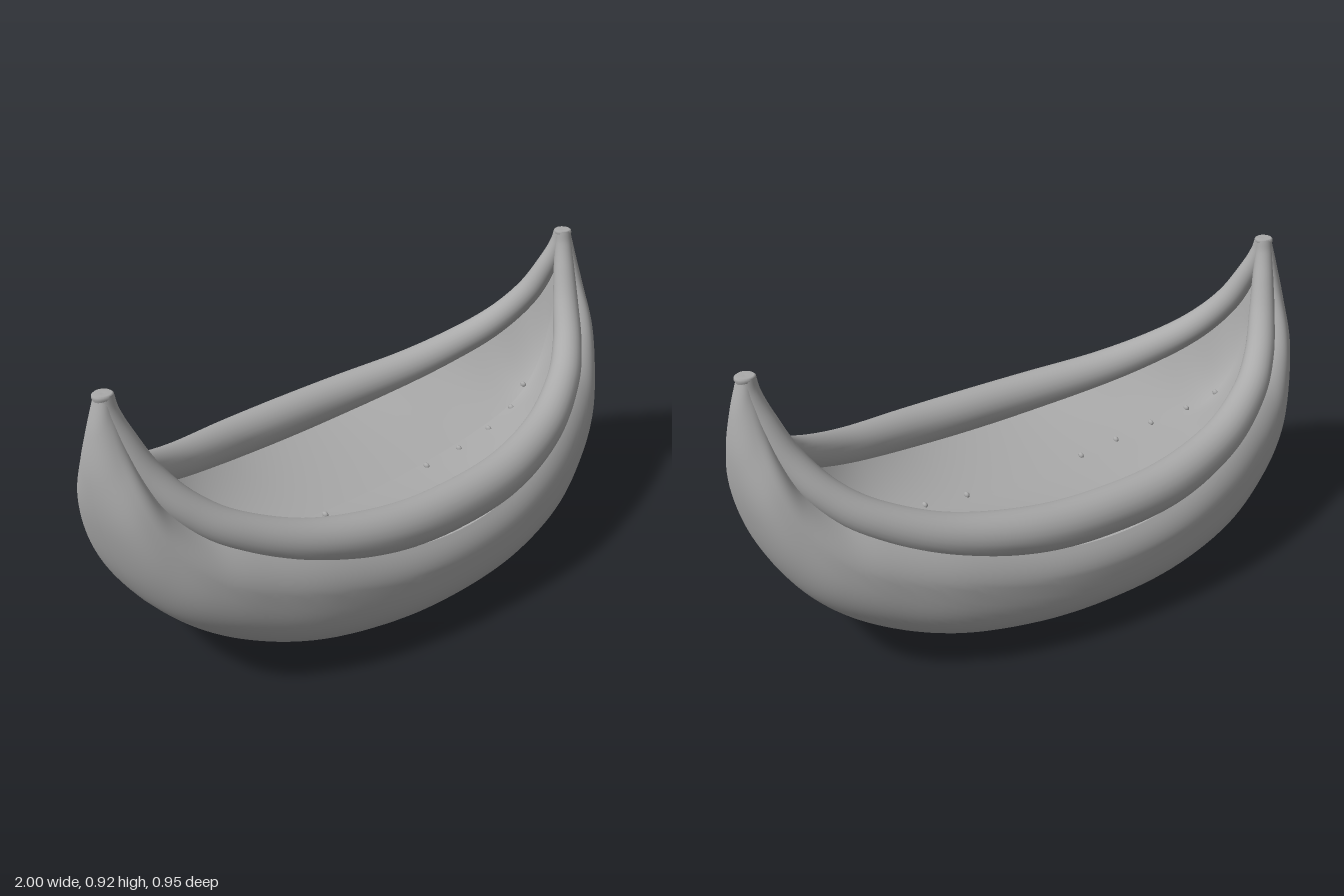
import * as THREE from 'three';

const V = (x, y, z = 0) => new THREE.Vector3(x, y, z);

// Stations from midship to the tip:
// keel x,y | sheer x,y,z | half width, squareness | floor centreline x,y
const STATIONS = [
  [0, 0.003, 0, 0.322, 0.438, 0.475, 0.6, 0, 0.278],
  [0.25, 0.011, 0.25, 0.342, 0.417, 0.46, 0.6, 0.25, 0.286],
  [0.5, 0.043, 0.5, 0.41, 0.352, 0.41, 0.61, 0.5, 0.31],
  [0.7, 0.117, 0.69, 0.49, 0.25, 0.337, 0.64, 0.68, 0.345],
  [0.845, 0.225, 0.79, 0.548, 0.172, 0.273, 0.67, 0.775, 0.395],
  [0.932, 0.36, 0.86, 0.622, 0.12, 0.208, 0.71, 0.84, 0.47],
  [0.984, 0.53, 0.895, 0.71, 0.08, 0.148, 0.76, 0.885, 0.58],
  [0.999, 0.68, 0.915, 0.8, 0.055, 0.084, 0.87, 0.905, 0.7],
  [0.985, 0.81, 0.925, 0.87, 0.036, 0.045, 0.96, 0.92, 0.82],
  [0.957, 0.915, 0.932, 0.912, 0.026, 0.027, 1, 0.93, 0.9],
];

// Gunwale centreline x,y,z and radius
const RAIL = [
  [0, 0.384, 0.392, 0.072],
  [0.25, 0.394, 0.376, 0.07],
  [0.5, 0.434, 0.314, 0.063],
  [0.69, 0.507, 0.232, 0.055],
  [0.8, 0.588, 0.156, 0.049],
  [0.87, 0.69, 0.084, 0.043],
  [0.91, 0.8, 0.035, 0.035],
  [0.928, 0.87, 0.012, 0.029],
  [0.932, 0.917, 0.003, 0.026],
];

// Smooth curve through the rows, mirrored end to end
function mirrored(rows, pick, flip) {
  const right = rows.map(pick);
  const left = right.slice(1).reverse().map((p) => V(flip ? -p.x : p.x, p.y, p.z));
  return new THREE.CatmullRomCurve3([...left, ...right], false, 'catmullrom', 0.5);
}

const keel = mirrored(STATIONS, (s) => V(s[0], s[1]), true);
const sheer = mirrored(STATIONS, (s) => V(s[2], s[3], s[4]), true);
const form = mirrored(STATIONS, (s) => V(s[5], s[6]), false);
const floor = mirrored(STATIONS, (s) => V(s[7], s[8]), true);
const railPath = mirrored(RAIL, (r) => V(r[0], r[1], r[2]), true);
const railSize = mirrored(RAIL, (r) => V(r[3], 0), false);

// Grid surface from a function of u and v
function surface(fn, nu, nv, flip, closed) {
  const pos = [], index = [];
  const cols = closed ? nv : nv + 1;
  for (let i = 0; i <= nu; i++) {
    for (let j = 0; j < cols; j++) pos.push(...fn(i / nu, j / nv).toArray());
  }
  for (let i = 0; i < nu; i++) {
    for (let j = 0; j < nv; j++) {
      const k = (j + 1) % cols;
      const a = i * cols + j, b = a + cols, c = (i + 1) * cols + k, d = i * cols + k;
      if (flip) index.push(a, c, b, a, d, c);
      else index.push(a, b, c, a, c, d);
    }
  }
  const g = new THREE.BufferGeometry();
  g.setAttribute('position', new THREE.Float32BufferAttribute(pos, 3));
  g.setIndex(index);
  g.computeVertexNormals();
  return g;
}

// Point on one half of the outer hull, from keel (v = 0) to sheer (v = 1)
function hullPoint(u, v, side) {
  const k = keel.getPoint(u), s = sheer.getPoint(u), f = form.getPoint(u);
  const w = f.x, p = f.y;
  const end = Math.PI - Math.asin(Math.min(1, s.z / w));
  const sn = Math.max(0, Math.sin(v * end)), cs = Math.cos(v * end);
  const lower = cs > 0;
  const across = lower ? Math.pow(sn, p) : sn;
  const h = (1 - (lower ? Math.pow(cs, p) : cs)) / (1 - Math.cos(end));
  const lift = 0.02 * across * (1 - h) * Math.min(1, w / 0.4);
  return V(k.x + (s.x - k.x) * h, k.y + (s.y - k.y) * h + lift, side * w * across);
}

// Point on one half of the raised inner floor, from its seam to under the gunwale
function floorPoint(u, v, side) {
  const f = floor.getPoint(u), s = sheer.getPoint(u);
  const h = 0.4 * v + 0.6 * v * v;
  const seam = 0.07 * s.z * (1 - v);
  const top = s.y + 0.07 * s.z;
  return V(f.x + (s.x - f.x) * h, f.y + (top - f.y) * h, side * s.z * 0.86 * v + seam);
}

// Point on the round gunwale
function railPoint(u, v, side) {
  const c = railPath.getPoint(u), t = railPath.getTangent(u), r = railSize.getPoint(u).x;
  const out = V(0, 0, 1).addScaledVector(t, -t.z).normalize();
  const up = out.clone().cross(t);
  const a = v * Math.PI * 2;
  c.addScaledVector(out, r * Math.cos(a)).addScaledVector(up, r * Math.sin(a));
  c.z *= side;
  return c;
}

export function createModel() {
  const model = new THREE.Group();
  model.name = 'canoe';
  const grey = new THREE.MeshStandardMaterial({ color: 0xaaaaaa, side: THREE.DoubleSide });
  grey.name = 'plain grey';
  const add = (name, geometry) => {
    const mesh = new THREE.Mesh(geometry, grey);
    mesh.name = name;
    model.add(mesh);
    return mesh;
  };

  // Hull, floor and gunwale for each side
  for (const side of [1, -1]) {
    const label = side > 0 ? 'front' : 'back';
    add(label + 'Hull', surface((u, v) => hullPoint(u, v, side), 120, 32, side < 0));
    add(label + 'Floor', surface((u, v) => floorPoint(u, v, side), 120, 16, side > 0));
    add(label + 'Gunwale', surface((u, v) => railPoint(u, v, side), 120, 24, side < 0, true));
  }

  // Small flared caps on the horn tips
  for (const s of [1, -1]) {
    const cap = add(s > 0 ? 'leftHornTip' : 'rightHornTip', new THREE.LatheGeometry(
      [[0.024, -0.03], [0.026, -0.012], [0.03, -0.004], [0.029, 0.004], [0.024, 0.008], [0, 0.006]]
        .map(([r, y]) => new THREE.Vector2(r, y)), 24));
    cap.position.set(s * 0.934, 0.917, 0);
  }

  // Row of pegs along the floor
  const peg = new THREE.SphereGeometry(0.01, 12, 8);
  peg.scale(0.8, 1, 1.2);
  for (const [x, y, z] of [[0.225, 0.29, 0.055], [0.375, 0.302, 0.06], [0.525, 0.322, 0.058],
    [0.665, 0.347, 0.037], [0.765, 0.392, 0.004]]) {
    for (const s of [1, -1]) add('floorPeg', peg).position.set(s * x, y, z);
  }
  return model;
}
